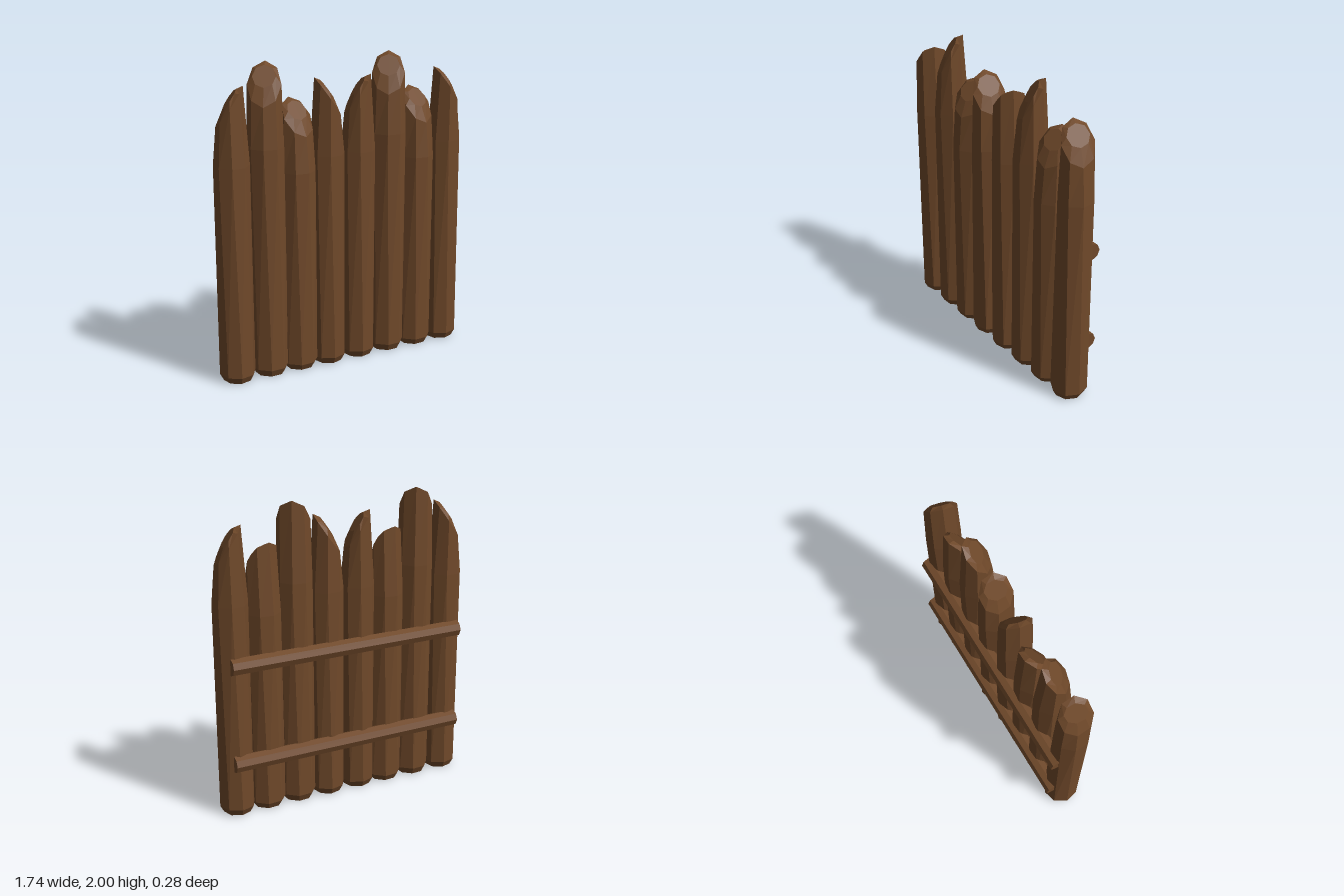
import * as THREE from 'three';

const SIDES = 8;
const HEIGHT = 1.88;

// Rings of one log, lowest first. Each ring is a tilted ellipse given by its
// low point (+x) and high point (-x), its half depth in z and its twist.
const RINGS = [
  { low: [0.092, 0], high: [-0.092, 0], depth: 0.095, twist: -0.2 },
  { low: [0.116, 0.045], high: [-0.116, 0.045], depth: 0.118, twist: -0.2 },
  { low: [0.111, 1.4], high: [-0.111, 1.4], depth: 0.114, twist: 0 },
  { low: [0.088, 1.64], high: [-0.08, 1.88], depth: 0.104, twist: 0 },
  { low: [0.043, 1.745], high: [-0.04, 1.862], depth: 0.072, twist: 0 },
];

function ringPoints({ low, high, depth, twist }) {
  const points = [];
  for (let j = 0; j < SIDES; j++) {
    const a = (j / SIDES) * Math.PI * 2 + twist;
    const t = (1 + Math.cos(a)) / 2;
    points.push([
      high[0] + (low[0] - high[0]) * t,
      high[1] + (low[1] - high[1]) * t,
      depth * Math.sin(a),
    ]);
  }
  return points;
}

// Log with a bevelled foot and a slanted, bevelled cut at the top
function logGeometry() {
  const rings = RINGS.map(ringPoints);
  const pos = rings.flat(2);
  const index = [];
  const top = (rings.length - 1) * SIDES;
  for (let j = 0; j < SIDES; j++) {
    const k = (j + 1) % SIDES;
    for (let i = 0; i < rings.length - 1; i++) {
      const a = i * SIDES, b = a + SIDES;
      index.push(a + j, b + j, a + k, a + k, b + j, b + k);
    }
    // End caps as fans
    if (j > 0 && k > 0) {
      index.push(0, j, k);
      index.push(top, top + k, top + j);
    }
  }
  const indexed = new THREE.BufferGeometry();
  indexed.setAttribute('position', new THREE.Float32BufferAttribute(pos, 3));
  indexed.setIndex(index);
  const geometry = indexed.toNonIndexed();
  geometry.computeVertexNormals();
  return geometry;
}

export function createModel() {
  const model = new THREE.Group();
  model.name = 'palisadeWall';
  const wood = new THREE.MeshStandardMaterial({ color: 0x70492a, flatShading: true });

  // Upright logs: position, height and the direction the slanted cut faces
  const logs = [
    { x: -0.755, h: 1.88, facing: 200 },
    { x: -0.53, h: 2.0, facing: 120 },
    { x: -0.317, h: 1.765, facing: 75 },
    { x: -0.11, h: 1.88, facing: 15 },
    { x: 0.11, h: 1.88, facing: 200 },
    { x: 0.328, h: 2.0, facing: 120 },
    { x: 0.543, h: 1.765, facing: 75 },
    { x: 0.755, h: 1.88, facing: 15 },
  ];
  const geometry = logGeometry();
  logs.forEach(({ x, h, facing }, i) => {
    const log = new THREE.Mesh(geometry, wood);
    log.name = `log${i + 1}`;
    log.position.set(x, 0, 0.018);
    log.scale.y = h / HEIGHT;
    log.rotation.y = -THREE.MathUtils.degToRad(facing);
    model.add(log);
  });

  // Horizontal rails across the back
  const railGeometry = new THREE.CylinderGeometry(0.055, 0.055, 1.61, 8);
  railGeometry.rotateZ(Math.PI / 2);
  [['lowerRail', 0.373], ['upperRail', 1.025]].forEach(([name, y]) => {
    const rail = new THREE.Mesh(railGeometry, wood);
    rail.name = name;
    rail.position.set(0, y, -0.085);
    model.add(rail);
  });

  return model;
}
